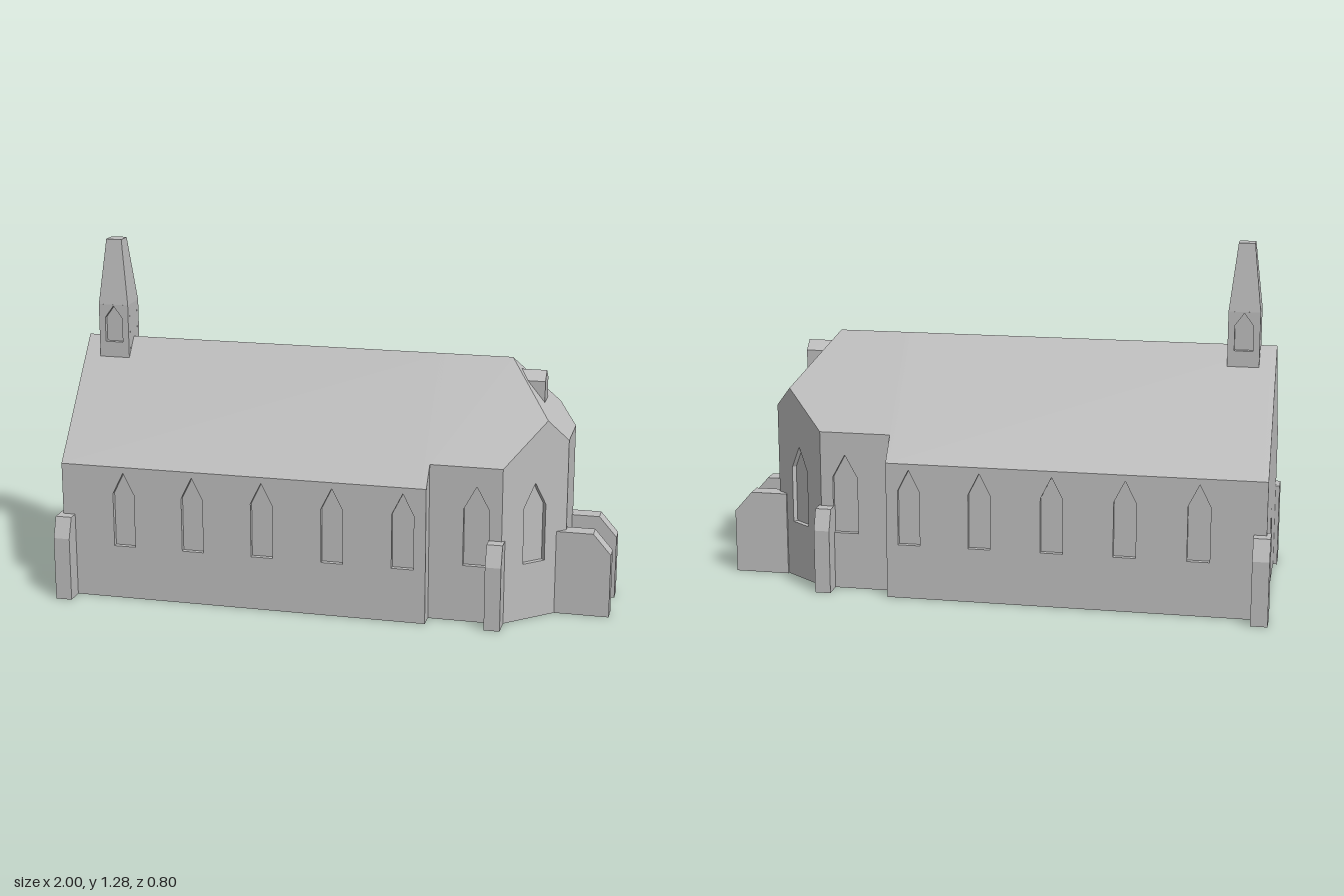
import * as THREE from 'three';

const stone = new THREE.MeshStandardMaterial({ color: 0xbebebe, flatShading: true });
stone.name = 'greyStone';

const RIDGE = 0.912, PITCH = 1.224, HIP = 0.615; // roof ridge height, slope, hip start
const DEPTH = 0.018; // window recess

// Height of the roof above a plan position
const roofY = (x, z) => RIDGE - PITCH * Math.max(Math.abs(z), x - HIP);

export function createModel() {
  const church = new THREE.Group();
  church.name = 'chapel';

  const add = (name, geometry, parent = church) => {
    const mesh = new THREE.Mesh(geometry, stone);
    mesh.name = name;
    parent.add(mesh);
    return mesh;
  };

  const outline = (pts) => new THREE.Shape(pts.map(([x, y]) => new THREE.Vector2(x, y)));

  // Pointed-arch window outline
  const lancet = ({ u, w, sill, spring, apex }) =>
    [[u - w, sill], [u + w, sill], [u + w, spring], [u, apex], [u - w, spring]];

  // Wall panel with recessed windows; outer face lies at local z = 0
  const panel = (name, pts, windows) => {
    const group = new THREE.Group();
    group.name = name;
    church.add(group);
    const shape = outline(pts);
    for (const win of windows) {
      shape.holes.push(new THREE.Path(outline(lancet(win)).getPoints()));
      add('windowPane', new THREE.ShapeGeometry(outline(lancet(win))), group).position.z = -DEPTH;
    }
    const geo = new THREE.ExtrudeGeometry(shape, { depth: DEPTH, bevelEnabled: false });
    add('wallFace', geo.translate(0, 0, -DEPTH), group);
    return group;
  };

  // Wall from plan point a to b (left to right seen from outside), reaching up to the roof
  const wall = (name, a, b, windows = [], peaks = []) => {
    const dx = b[0] - a[0], dz = b[1] - a[1], len = Math.hypot(dx, dz);
    const pts = [[0, 0], [len, 0]];
    for (const t of [1, ...peaks, 0]) pts.push([t * len, roofY(a[0] + t * dx, a[1] + t * dz)]);
    const group = panel(name, pts, windows.map((w) => ({ ...w, u: w.u * len })));
    group.position.set(a[0], 0, a[1]);
    group.rotation.y = Math.atan2(-dz, dx);
  };

  // Flat convex polygon facing up (1) or down (-1)
  const facet = (name, pts, up) => {
    const v = pts.map((p) => new THREE.Vector3(...p));
    const n = new THREE.Vector3().crossVectors(v[1].clone().sub(v[0]), v[2].clone().sub(v[0]));
    if (n.y * up < 0) v.reverse();
    const tris = [];
    for (let i = 1; i < v.length - 1; i++) tris.push(v[0], v[i], v[i + 1]);
    const geo = new THREE.BufferGeometry().setFromPoints(tris);
    geo.computeVertexNormals();
    add(name, geo);
  };
  const roof = (name, plan) => facet(name, plan.map(([x, z]) => [x, roofY(x, z), z]), 1);
  const floor = (name, plan) => facet(name, plan.map(([x, z]) => [x, 0, z]), -1);

  // Plan: nave, narrower chancel and three-sided apse
  const W = -0.985, E = 0.37, N = 0.335;
  const cf = [0.63, 0.275], ef = [0.835, 0.09], eb = [0.835, -0.11], cb = [0.63, -0.265];

  // Point on a canted wall where hip and side roof meet
  const peakAt = (a, b) => {
    const ga = Math.abs(a[1]) - a[0] + HIP, gb = Math.abs(b[1]) - b[0] + HIP;
    return ga / (ga - gb);
  };
  const mix = (a, b, t) => [a[0] + (b[0] - a[0]) * t, a[1] + (b[1] - a[1]) * t];
  const tf = peakAt(cf, ef), tb = peakAt(eb, cb);
  const pf = mix(cf, ef, tf), pb = mix(eb, cb, tb);

  // Nave walls
  const naveLen = E - W;
  const naveWindows = [-0.75, -0.49, -0.23, 0.03, 0.287].map((x) =>
    ({ u: (x - W) / naveLen, w: 0.04, sill: 0.2, spring: 0.4, apex: 0.48 }));
  wall('naveFrontWall', [W, N], [E, N], naveWindows);
  wall('naveBackWall', [E, -N], [W, -N], naveWindows.map((w) => ({ ...w, u: 1 - w.u })));
  wall('westGable', [W, -N], [W, N],
    [{ u: 0.5, w: 0.045, sill: 0.03, spring: 0.22, apex: 0.31 }], [0.5]);
  wall('naveEndGable', [E, N], [E, -N], [], [0.5]);

  // Chancel and apse walls
  const tall = { w: 0.046, sill: 0.21, spring: 0.42, apex: 0.505 };
  wall('chancelFrontWall', [E, cf[1]], cf, [{ ...tall, u: 0.65 }]);
  wall('chancelBackWall', cb, [E, cb[1]], [{ ...tall, u: 0.35 }]);
  wall('apseFrontWall', cf, ef, [{ ...tall, u: 0.5 }], [tf]);
  wall('apseBackWall', eb, cb, [{ ...tall, u: 0.5 }], [tb]);
  wall('apseEndWall', ef, eb);

  // Roofs
  for (const s of [1, -1]) roof('naveRoof', [[W, s * N], [E, s * N], [E, 0], [W, 0]]);
  roof('chancelFrontRoof', [[E, cf[1]], cf, pf, [HIP, 0], [E, 0]]);
  roof('chancelBackRoof', [[E, cb[1]], cb, pb, [HIP, 0], [E, 0]]);
  roof('apseHipRoof', [[HIP, 0], pf, ef, eb, pb]);

  // Underside
  floor('naveFloor', [[W, N], [E, N], [E, -N], [W, -N]]);
  floor('chancelFloor', [[E, cf[1]], cf, ef, eb, cb, [E, cb[1]]]);

  // Buttresses with sloped caps, running outward from the walls
  const buttress = (x, z, angle, length, slope, width) => {
    const shape = outline([[-0.03, 0], [length, 0], [length, 0.235], [length - slope, 0.31], [-0.03, 0.31]]);
    const geo = new THREE.ExtrudeGeometry(shape, { depth: width, bevelEnabled: false });
    const mesh = add('buttress', geo.translate(0, 0, -width / 2));
    mesh.position.set(x, 0, z);
    mesh.rotation.y = angle;
  };
  for (const s of [1, -1]) {
    buttress(-0.97, s * 0.33, -s * Math.PI / 2, 0.072, 0.028, 0.06);
    buttress(0.612, s > 0 ? 0.27 : -0.26, -s * Math.PI / 2, 0.075, 0.028, 0.057);
  }
  for (const z of [0.088, -0.115]) buttress(0.83, z, 0, 0.17, 0.065, 0.062);

  // Bell turret: core, two faces with openings, tapering spire
  const TX = -0.869, T = 0.0565, TOP = 1.04, BASE = 0.8;
  add('turretCore', new THREE.BoxGeometry(2 * T, TOP - BASE, 2 * (T - DEPTH)))
    .position.set(TX, (TOP + BASE) / 2, 0);
  for (const s of [1, -1]) {
    const face = panel('turretFace', [[-T, BASE], [T, BASE], [T, TOP], [-T, TOP]],
      [{ u: 0, w: 0.033, sill: 0.9, spring: 0.99, apex: 1.036 }]);
    face.position.set(TX, 0, s * (T + 0.0005));
    face.rotation.y = s > 0 ? 0 : Math.PI;
  }
  const spire = new THREE.CylinderGeometry(0.029 * Math.SQRT2, T * Math.SQRT2, 0.24, 4);
  add('spire', spire.rotateY(Math.PI / 4)).position.set(TX, TOP + 0.12, 0);

  // Small gabled dormer on the hip
  const dormer = outline([[-0.038, 0.74], [0.038, 0.74], [0.038, 0.838], [0, 0.871], [-0.038, 0.838]]);
  const dormerGeo = new THREE.ExtrudeGeometry(dormer, { depth: 0.098, bevelEnabled: false });
  add('dormer', dormerGeo.rotateY(Math.PI / 2)).position.x = 0.64;

  return church;
}
